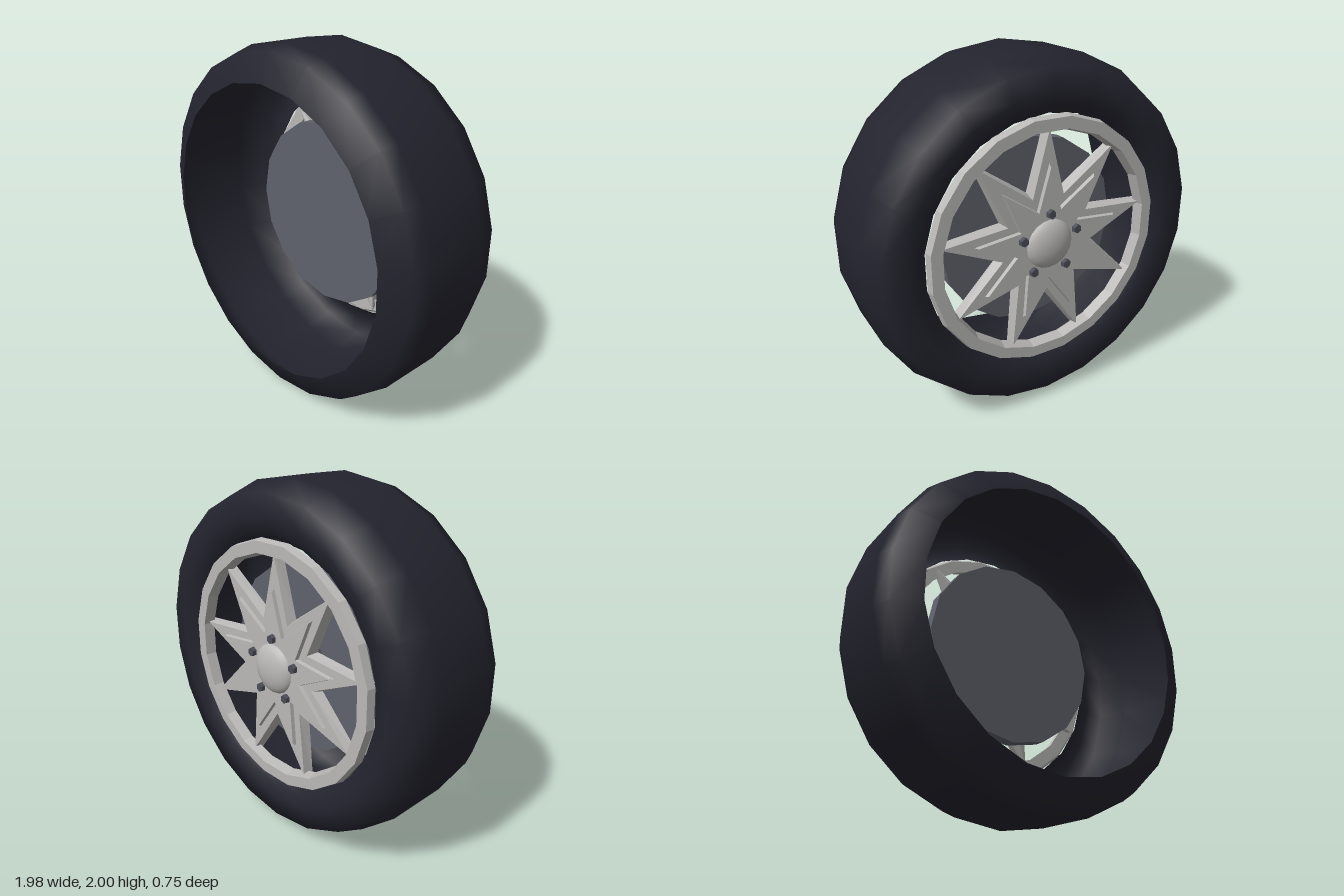
import * as THREE from 'three';

const mat = (name, color, extra = {}) => {
  const m = new THREE.MeshStandardMaterial({ color, ...extra });
  m.name = name;
  return m;
};

// Lathe about the z axis from [radius, z] pairs
function latheZ(profile, segments, phase = 0) {
  const g = new THREE.LatheGeometry(profile.map(([r, z]) => new THREE.Vector2(r, z)), segments, phase);
  return g.rotateX(Math.PI / 2);
}

// Nine-pointed star from stacked outlines; each layer is {tip, valley, z}, ordered from back (-z) to front,
// closed at both ends by a fan to a centre point.
function starGeometry(points, layers, zBack, zFront) {
  const n = points * 2, pos = [], idx = [];
  for (const l of layers) {
    for (let i = 0; i < n; i++) {
      const a = (i * Math.PI) / points, r = i % 2 ? l.valley : l.tip;
      pos.push(r * Math.sin(a), r * Math.cos(a), l.z);
    }
  }
  const back = layers.length * n, front = back + 1, last = (layers.length - 1) * n;
  pos.push(0, 0, zBack, 0, 0, zFront);
  for (let i = 0; i < n; i++) {
    const j = (i + 1) % n;
    idx.push(back, i, j, front, last + j, last + i);
    for (let k = 0; k < last; k += n) {
      idx.push(k + i, k + n + i, k + j, k + j, k + n + i, k + n + j);
    }
  }
  const g = new THREE.BufferGeometry();
  g.setAttribute('position', new THREE.Float32BufferAttribute(pos, 3));
  g.setIndex(idx);
  const flat = g.toNonIndexed();
  flat.computeVertexNormals();
  return flat;
}

export function createModel() {
  const wheel = new THREE.Group();
  wheel.name = 'wheel';
  wheel.position.y = 1;

  const rubber = mat('rubber', 0x23232e, { side: THREE.DoubleSide });
  const alloy = mat('alloy', 0xb9b8b6, { flatShading: true });
  const polished = mat('polished alloy', 0xb9b8b6);
  const steel = mat('brake steel', 0x5f626b, { flatShading: true });
  const dark = mat('dark steel', 0x4b4d57, { flatShading: true });

  const add = (name, geometry, material) => {
    const m = new THREE.Mesh(geometry, material);
    m.name = name;
    wheel.add(m);
    return m;
  };

  // Tyre: open shell, the inner side of the wheel faces +z
  add('tyre', latheZ([
    [0.705, -0.285], [0.75, -0.325], [0.82, -0.345], [0.94, -0.332], [1, -0.17],
    [1, 0.21], [0.97, 0.31], [0.82, 0.378],
  ], 22), rubber);

  // Rim ring
  add('rimRing', latheZ([
    [0.615, -0.275], [0.63, -0.335], [0.695, -0.335], [0.705, -0.29], [0.69, -0.275], [0.615, -0.275],
  ], 20, Math.PI / 20), alloy);

  // Spokes: flat outside, ridged inside
  add('spokeStar', starGeometry(9, [
    { tip: 0.63, valley: 0.28, z: -0.305 },
    { tip: 0.67, valley: 0.31, z: -0.25 },
  ], -0.305, -0.17), alloy);

  // Raised star on the outer face
  add('raisedStar', starGeometry(9, [
    { tip: 0.43, valley: 0.2, z: -0.325 },
    { tip: 0.45, valley: 0.21, z: -0.3 },
  ], -0.325, -0.3), alloy);

  // Centre cap
  const cap = new THREE.SphereGeometry(0.145, 20, 8, 0, Math.PI * 2, 0, Math.PI / 2);
  cap.scale(1, 0.065 / 0.145, 1).rotateX(-Math.PI / 2).translate(0, 0, -0.311);
  add('centreCap', cap, polished);

  // Lug nuts
  for (let i = 0; i < 5; i++) {
    const a = (i * Math.PI * 2) / 5;
    const nut = add('lugNut', new THREE.CylinderGeometry(0.024, 0.032, 0.05, 6), dark);
    nut.rotation.x = -Math.PI / 2;
    nut.position.set(0.175 * Math.sin(a), 0.175 * Math.cos(a), -0.323);
  }

  // Brake disc and hub
  add('brakeDisc', new THREE.CylinderGeometry(0.545, 0.545, 0.07, 16).rotateX(Math.PI / 2).translate(0, 0, -0.09), steel);
  add('hub', new THREE.CylinderGeometry(0.19, 0.19, 0.12, 16).rotateX(Math.PI / 2).translate(0, 0, -0.18), dark);

  const model = new THREE.Group();
  model.name = 'wheelModel';
  model.add(wheel);
  return model;
}
